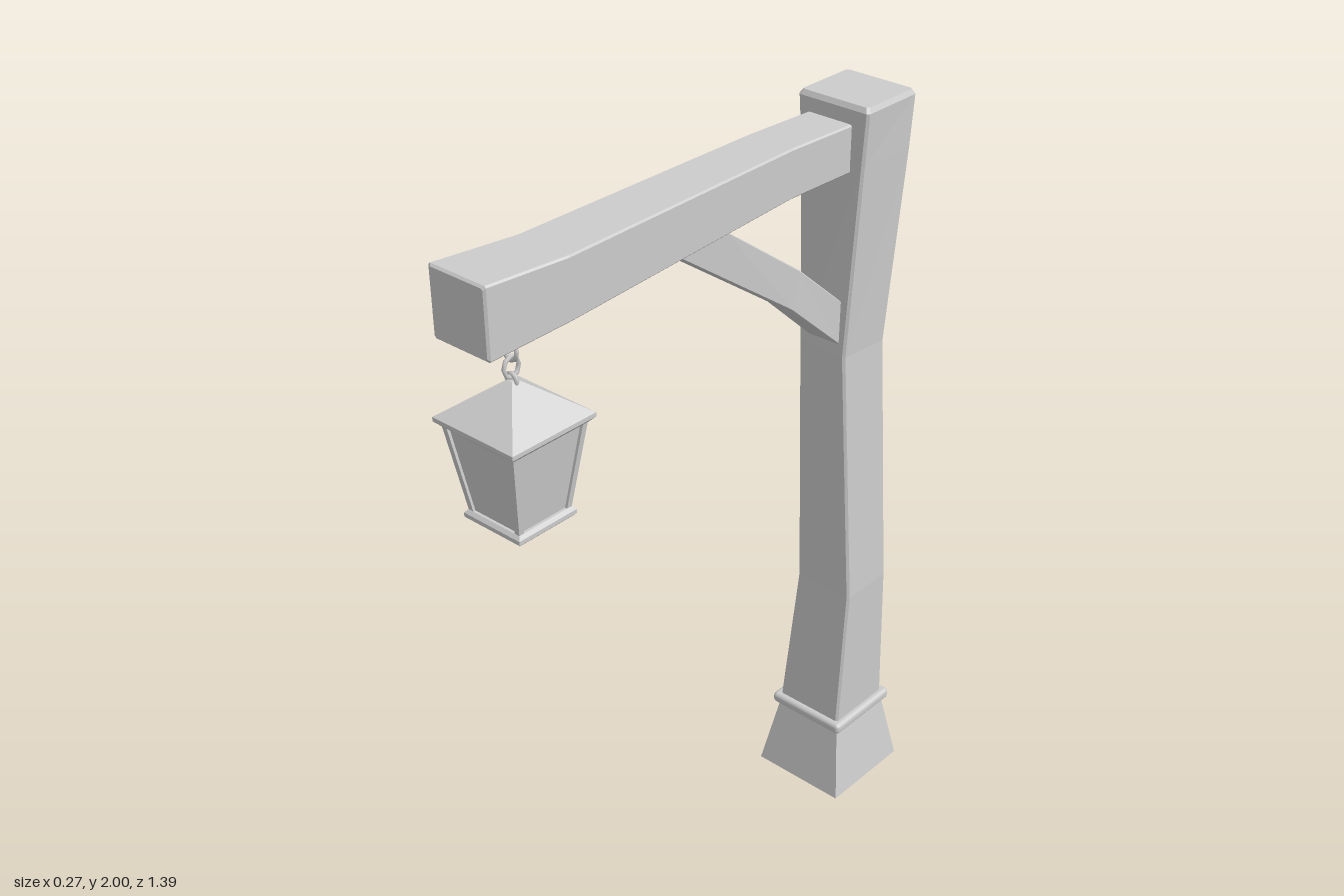
import * as THREE from 'three';
import { RoundedBoxGeometry } from 'three/addons/geometries/RoundedBoxGeometry.js';

const V = (x, y, z) => new THREE.Vector3(x, y, z);
const material = new THREE.MeshStandardMaterial({ color: 0xcccccc, flatShading: true });
const smooth = new THREE.MeshStandardMaterial({ color: 0xcccccc });

function add(parent, name, geometry, mat = material) {
  const mesh = new THREE.Mesh(geometry, mat);
  mesh.name = name;
  parent.add(mesh);
  return mesh;
}

// Rectangular ring with chamfered corners; u and v are half-extent vectors, u x v points along the loft.
function ring(center, u, v, chamfer = 0) {
  const a = chamfer / u.length(), b = chamfer / v.length();
  const corners = chamfer
    ? [[-1 + a, -1], [1 - a, -1], [1, -1 + b], [1, 1 - b], [1 - a, 1], [-1 + a, 1], [-1, 1 - b], [-1, -1 + b]]
    : [[-1, -1], [1, -1], [1, 1], [-1, 1]];
  return corners.map(([s, t]) => center.clone().addScaledVector(u, s).addScaledVector(v, t));
}

// Closed flat-shaded solid through a list of rings.
function loft(rings) {
  const n = rings[0].length, index = [];
  for (let r = 0; r < rings.length - 1; r++) {
    for (let i = 0; i < n; i++) {
      const a = r * n + i, b = r * n + (i + 1) % n;
      index.push(a, b, b + n, a, b + n, a + n);
    }
  }
  const last = (rings.length - 1) * n;
  for (let i = 1; i < n - 1; i++) index.push(0, i + 1, i, last, last + i, last + i + 1);
  const geometry = new THREE.BufferGeometry().setFromPoints(rings.flat());
  geometry.setIndex(index);
  const flat = geometry.toNonIndexed();
  flat.computeVertexNormals();
  return flat;
}

// Upright square solid from [y, halfWidth] pairs.
function squareStack(levels, x = 0, z = 0) {
  return loft(levels.map(([y, h]) => ring(V(x, y, z), V(0, 0, h), V(h, 0, 0))));
}

export function createModel() {
  const model = new THREE.Group();
  model.name = 'lanternPost';

  // Flared foot and rounded collar
  add(model, 'foot', squareStack([[0, 0.137], [0.21, 0.1]], 0, -0.557));
  add(model, 'collar', new RoundedBoxGeometry(0.234, 0.032, 0.234, 3, 0.012), smooth)
    .position.set(0, 0.22, -0.557);

  // Crooked post: y, x min, x max, z min, z max, twist
  const post = [
    [0.2, -0.102, 0.1, -0.657, -0.455, 0],
    [0.65, -0.066, 0.105, -0.632, -0.472, 0],
    [1.36, -0.082, 0.069, -0.609, -0.462, 0.08],
    [1.86, -0.098, 0.091, -0.638, -0.461, 0.02],
    [1.988, -0.107, 0.097, -0.641, -0.459, 0],
    [2, -0.1, 0.09, -0.634, -0.466, 0],
  ].map(([y, x0, x1, z0, z1, twist]) => {
    const hx = (x1 - x0) / 2, hz = (z1 - z0) / 2;
    return ring(V((x0 + x1) / 2, y, (z0 + z1) / 2), V(-twist * hz, 0, hz), V(hx, 0, twist * hx), 0.006);
  });
  add(model, 'post', loft(post));

  // Crooked beam: z, x min, x max, y min, y max
  const beam = [
    [-0.52, -0.075, 0.053, 1.835, 1.952],
    [-0.26, -0.086, 0.044, 1.835, 1.955],
    [0.48, -0.06, 0.089, 1.832, 1.975],
    [0.69, -0.082, 0.078, 1.82, 1.983],
    [0.695, -0.077, 0.073, 1.825, 1.978],
  ].map(([z, x0, x1, y0, y1]) =>
    ring(V((x0 + x1) / 2, (y0 + y1) / 2, z), V((x1 - x0) / 2, 0, 0), V(0, (y1 - y0) / 2, 0), 0.004));
  add(model, 'beam', loft(beam));

  // Bent brace: lower edge z, y; upper edge z, y; half width
  const brace = [
    [-0.49, 1.365, -0.49, 1.485, 0.05],
    [-0.46, 1.39, -0.46, 1.507, 0.05],
    [-0.285, 1.545, -0.31, 1.64, 0.039],
    [0.125, 1.832, -0.04, 1.832, 0.05],
    [0.14, 1.845, -0.02, 1.845, 0.05],
  ].map(([z0, y0, z1, y1, h]) =>
    ring(V(-0.006, (y0 + y1) / 2, (z0 + z1) / 2), V(h, 0, 0), V(0, (y1 - y0) / 2, (z1 - z0) / 2), 0.003));
  add(model, 'brace', loft(brace));

  // Hanging chain of alternating links
  const lantern = new THREE.Group();
  lantern.name = 'lantern';
  lantern.position.set(-0.004, 0, 0.566);
  model.add(lantern);
  [[1.805, 0.02], [1.77, 0.019], [1.733, 0.021], [1.702, 0.014]].forEach(([y, r], i) => {
    const link = add(lantern, 'chainLink' + (i + 1), new THREE.TorusGeometry(r, 0.005, 6, 8), smooth);
    link.position.y = y;
    link.rotation.y = i % 2 ? 0 : Math.PI / 2;
    link.scale.y = 1.15;
  });

  // Lantern roof, glass box and tray
  add(lantern, 'lanternRoof', squareStack([[1.598, 0.104], [1.612, 0.118], [1.622, 0.118], [1.703, 0.008]]));
  add(lantern, 'lanternPanes', squareStack([[1.385, 0.069], [1.605, 0.099]]));
  add(lantern, 'lanternTray', squareStack([[1.37, 0.076], [1.378, 0.084], [1.388, 0.084], [1.396, 0.077]]));

  // Slanted corner bars and the rails between them
  for (const sx of [-1, 1]) {
    for (const sz of [-1, 1]) {
      const bar = [[1.385, 0.068], [1.605, 0.099]].map(([y, d]) =>
        ring(V(sx * d, y, sz * d), V(0, 0, 0.007), V(0.007, 0, 0)));
      add(lantern, 'lanternCornerBar', loft(bar));
    }
  }
  return model;
}
